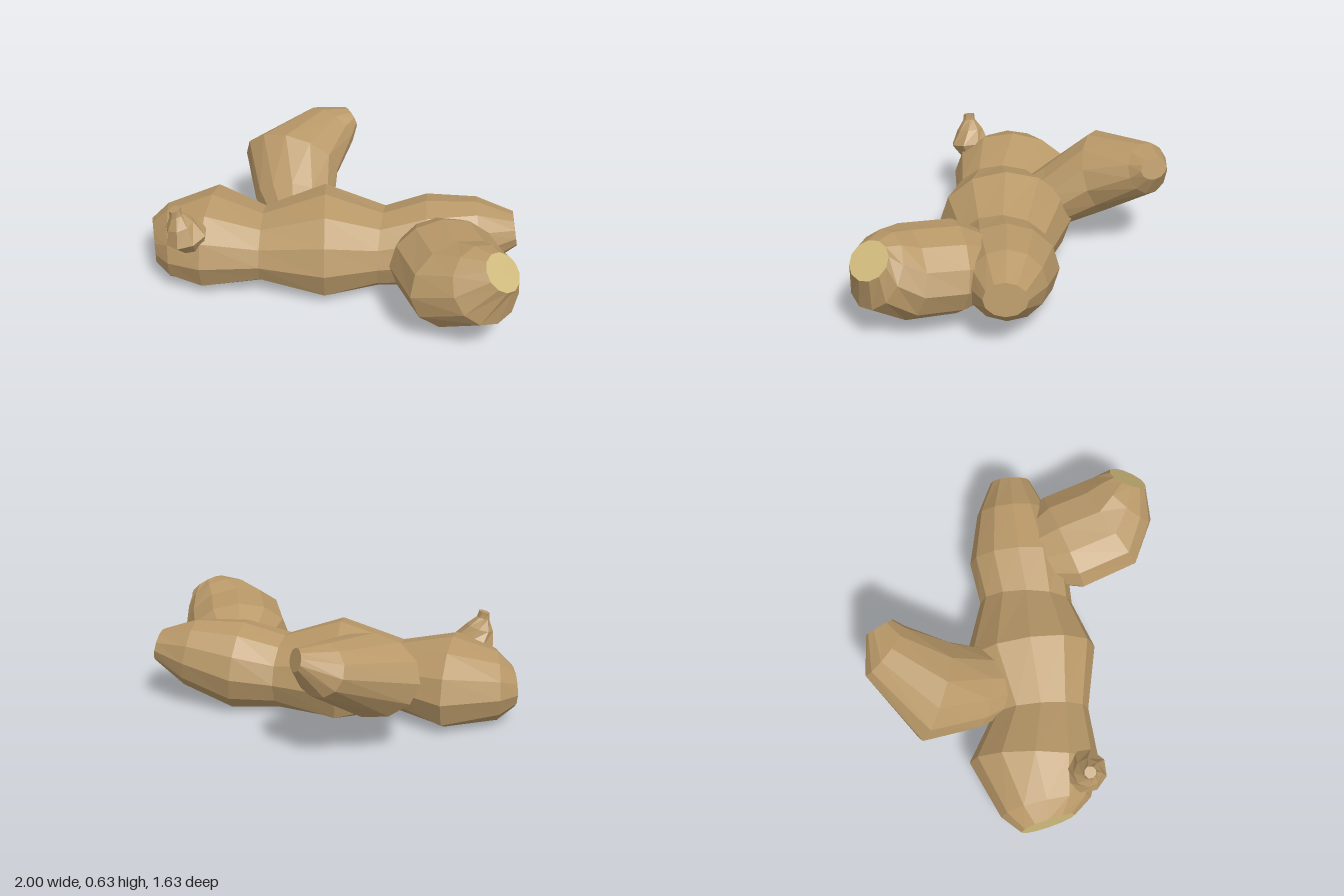
import * as THREE from 'three';

const SIDES = 12;
const skin = new THREE.MeshStandardMaterial({ color: 0xb89868, flatShading: true });
skin.name = 'tan root skin';
const flesh = new THREE.MeshStandardMaterial({ color: 0xcfba7c, flatShading: true });
flesh.name = 'pale yellow cut flesh';

// Cross-section around a centre, facing along a direction
function ring(center, direction, width, height, sides = SIDES, twist = 0) {
  const c = new THREE.Vector3(...center);
  const n = new THREE.Vector3(...direction).normalize();
  const u = new THREE.Vector3(0, 1, 0).cross(n).normalize();
  const v = n.clone().cross(u);
  return Array.from({ length: sides }, (_, i) => {
    const a = (i / sides) * Math.PI * 2 + twist;
    return c.clone().addScaledVector(u, Math.cos(a) * width).addScaledVector(v, Math.sin(a) * height);
  });
}

// Cross-section of the main root, flattened where it rests on the ground
function rootRing([x, z, width, y, height, slant, lean]) {
  return Array.from({ length: SIDES }, (_, i) => {
    const a = (i / SIDES) * Math.PI * 2;
    const dz = -Math.cos(a) * width, dy = Math.sin(a) * height;
    return new THREE.Vector3(x + slant * dz + lean * dy, Math.max(0, y + dy), z + dz);
  });
}

function makeMesh(name, points, material) {
  const geometry = new THREE.BufferGeometry().setFromPoints(points);
  geometry.computeVertexNormals();
  const mesh = new THREE.Mesh(geometry, material);
  mesh.name = name;
  return mesh;
}

// Skin between successive rings
function loft(name, rings) {
  const points = [];
  for (let r = 0; r < rings.length - 1; r++) {
    const a = rings[r], b = rings[r + 1];
    for (let i = 0; i < a.length; i++) {
      const j = (i + 1) % a.length;
      points.push(a[i], a[j], b[j], a[i], b[j], b[i]);
    }
  }
  return makeMesh(name, points, skin);
}

// Flat end closing a ring
function cap(name, points, material, reversed = false) {
  const c = points.reduce((s, p) => s.add(p), new THREE.Vector3()).divideScalar(points.length);
  const fan = [];
  points.forEach((p, i) => {
    const q = points[(i + 1) % points.length];
    fan.push(c, reversed ? q : p, reversed ? p : q);
  });
  return makeMesh(name, fan, material);
}

export function createModel() {
  const model = new THREE.Group();
  model.name = 'gingerRoot';

  // Main root: x, z, half width, y, half height, slant along z, lean along y
  const root = [
    [-0.965, 0.07, 0.145, 0.175, 0.11, 0.25, 0],
    [-0.88, 0.065, 0.24, 0.18, 0.185, 0.14, 0],
    [-0.64, 0.025, 0.345, 0.19, 0.26, -0.09, 0],
    [-0.36, 0.08, 0.26, 0.195, 0.18, 0, 0],
    [-0.03, 0.05, 0.36, 0.2, 0.29, 0.06, 0],
    [0.28, 0.055, 0.255, 0.19, 0.2, -0.08, 0],
    [0.53, 0.03, 0.27, 0.22, 0.24, 0, -0.1],
    [0.8, 0.02, 0.2, 0.275, 0.185, 0, -0.16],
    [0.985, 0.02, 0.11, 0.305, 0.085, 0, -0.18],
  ].map(rootRing);
  model.add(
    loft('mainRoot', root),
    cap('mainRootCutEnd', root[0], flesh, true),
    cap('mainRootTip', root[root.length - 1], skin),
  );

  // Knob rising from the back
  const back = [
    ring([-0.2, 0.2, 0], [0, 0.3, -0.95], 0.1, 0.1),
    ring([-0.22, 0.27, -0.22], [0.1, 0.35, -0.93], 0.22, 0.17),
    ring([-0.26, 0.4, -0.47], [0.27, 0.36, -0.9], 0.28, 0.215),
    ring([-0.055, 0.51, -0.715], [0.6, 0.45, -0.75], 0.17, 0.135),
    ring([0.06, 0.56, -0.735], [0.83, 0.3, -0.45], 0.08, 0.058),
  ];
  model.add(loft('backKnob', back), cap('backKnobTip', back[back.length - 1], skin));

  // Knob reaching to the front
  const front = [
    ring([0.55, 0.25, 0.1], [0.3, 0.1, 0.95], 0.18, 0.15),
    ring([0.6, 0.27, 0.29], [0.3, 0.15, 0.9], 0.29, 0.22),
    ring([0.69, 0.285, 0.54], [0.45, 0.25, 0.82], 0.29, 0.225),
    ring([0.805, 0.36, 0.65], [0.5, 0.5, 0.65], 0.2, 0.2),
    ring([0.88, 0.45, 0.67], [0.57, 0.7, 0.4], 0.11, 0.105),
  ];
  model.add(loft('frontKnob', front), cap('frontKnobCutEnd', front[front.length - 1], flesh));

  // Small twisted sprout
  const sprout = [
    [[-0.715, 0.28, 0.265], 0.07, 0],
    [[-0.74, 0.345, 0.28], 0.115, 0.1],
    [[-0.77, 0.42, 0.285], 0.075, 0.35],
    [[-0.785, 0.475, 0.29], 0.035, 0.6],
    [[-0.79, 0.51, 0.29], 0.032, 0.8],
  ].map(([c, r, twist]) => ring(c, [-0.25, 0.95, 0.1], r, r, 8, twist));
  model.add(loft('sprout', sprout), cap('sproutTip', sprout[sprout.length - 1], skin));

  return model;
}
